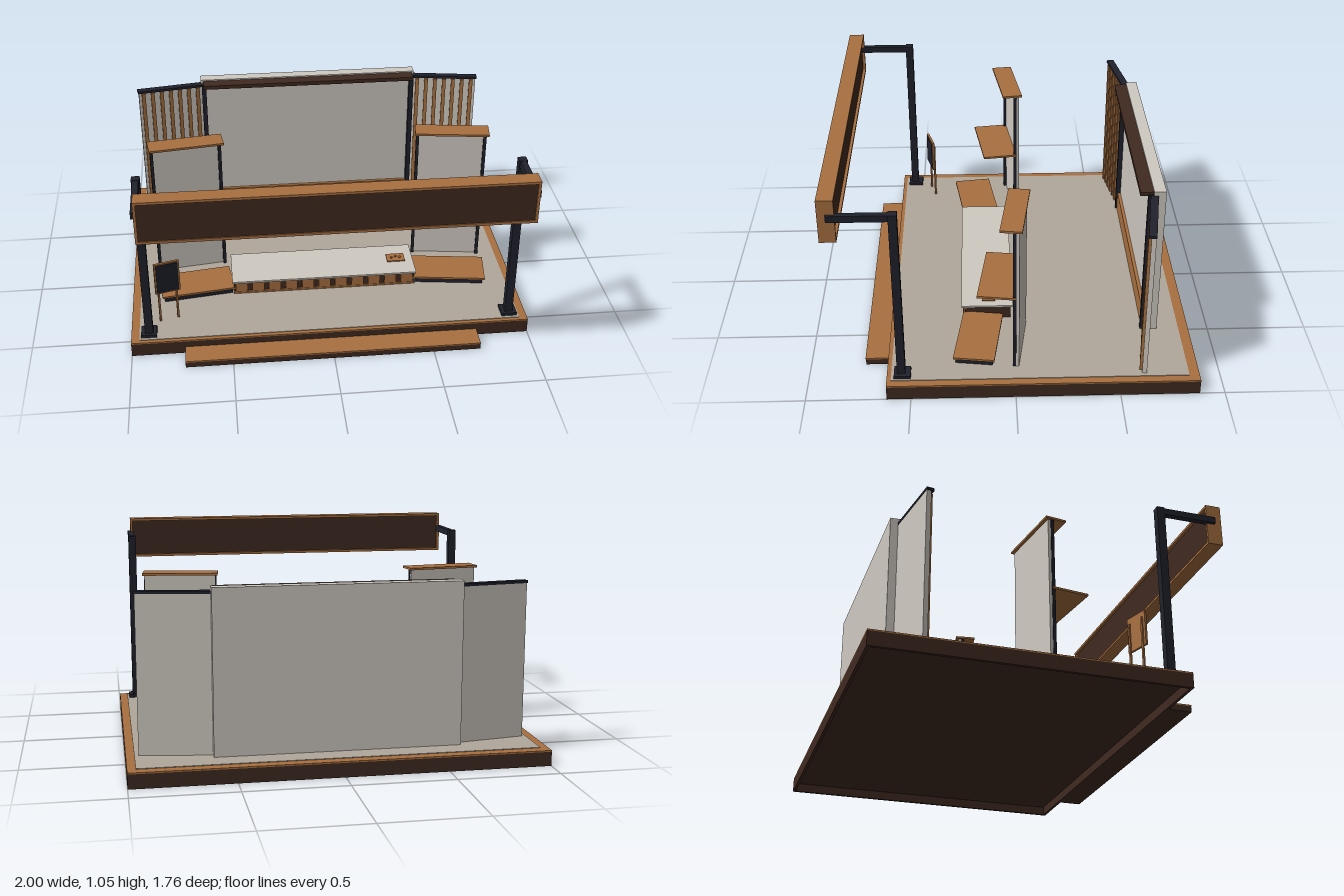
import * as THREE from 'three';

const mat = (name, color) => {
  const m = new THREE.MeshStandardMaterial({ color });
  m.name = name;
  return m;
};

export function createModel() {
  const wood = mat('warm wood', 0xa87040);
  const brown = mat('dark brown', 0x402a20);
  const metal = mat('black metal', 0x20222c);
  const stone = mat('floor stone', 0xb0a89b);
  const plaster = mat('pale plaster', 0xcfc9c1);
  const root = new THREE.Group();
  root.name = 'pavilion';

  // box given by its x, y and z ranges
  const box = (parent, name, m, [x0, x1], [y0, y1], [z0, z1]) => {
    const mesh = new THREE.Mesh(new THREE.BoxGeometry(Math.abs(x1 - x0), y1 - y0, z1 - z0), m);
    mesh.position.set((x0 + x1) / 2, (y0 + y1) / 2, (z0 + z1) / 2);
    mesh.name = name;
    parent.add(mesh);
    return mesh;
  };
  const group = (name, x, z, turn) => {
    const g = new THREE.Group();
    g.name = name;
    g.position.set(x, 0, z);
    g.rotation.y = turn;
    root.add(g);
    return g;
  };

  // deck: fascia boards around a raised slab, open underneath
  box(root, 'deckSlab', brown, [-0.96, 0.96], [0.05, 0.07], [-0.84, 0.59]);
  box(root, 'floor', stone, [-0.96, 0.96], [0.07, 0.08], [-0.83, 0.595]);
  const ring = [
    [[-1, 1], [-0.88, -0.83]], [[-1, 1], [0.595, 0.615]],
    [[-1, -0.96], [-0.83, 0.595]], [[0.96, 1], [-0.83, 0.595]],
  ];
  for (const [x, z] of ring) box(root, 'deckBorder', wood, x, [0.07, 0.077], z);
  const fascia = [
    [[-1, 1], [-0.88, -0.865]], [[-1, 1], [0.6, 0.615]],
    [[-1, -0.985], [-0.865, 0.6]], [[0.985, 1], [-0.865, 0.6]],
  ];
  for (const [x, z] of fascia) box(root, 'deckFascia', brown, x, [0, 0.07], z);
  box(root, 'deckUnderside', brown, [-0.985, 0.985], [0.045, 0.06], [-0.865, 0.6]);

  // front step
  box(root, 'stepBody', brown, [-0.735, 0.735], [0, 0.03], [0.615, 0.73]);
  box(root, 'stepTread', wood, [-0.735, 0.735], [0.03, 0.037], [0.615, 0.732]);

  // overhead sign beam
  box(root, 'beamPanel', brown, [-0.897, 0.897], [0.845, 1.037], [0.815, 0.873]);
  box(root, 'beamTop', wood, [-0.91, 0.91], [1.037, 1.05], [0.8, 0.878]);
  box(root, 'beamBottom', wood, [-0.91, 0.91], [0.833, 0.846], [0.8, 0.878]);
  for (const s of [-1, 1]) {
    box(root, 'beamEnd', wood, [s * 0.897, s * 0.91], [0.846, 1.037], [0.8, 0.878]);
    box(root, 'post', metal, [s * 0.89, s * 0.93], [0.08, 0.98], [0.525, 0.565]);
    box(root, 'postFoot', metal, [s * 0.872, s * 0.95], [0.08, 0.096], [0.5, 0.58]);
    box(root, 'postArm', metal, [s * 0.895, s * 0.925], [0.945, 0.978], [0.555, 0.84]);
  }

  // back wall
  box(root, 'backWall', plaster, [-0.598, 0.595], [0.08, 0.88], [-0.72, -0.662]);
  box(root, 'wallHeader', brown, [-0.583, 0.583], [0.852, 0.873], [-0.662, -0.598]);
  box(root, 'wallBaseboard', wood, [-0.57, 0.57], [0.08, 0.185], [-0.662, -0.645]);

  for (const s of [-1, 1]) {
    box(root, 'wallPost', metal, [s * 0.568, s * 0.592], [0.08, 0.86], [-0.664, -0.636]);

    // angled wing with upright slats
    const wing = group('wing', s * 0.765, -0.637, -s * 0.155);
    box(wing, 'wingPanel', plaster, [-0.175, 0.175], [0.08, 0.846], [-0.018, 0.005]);
    box(wing, 'wingCap', metal, [-0.18, 0.18], [0.846, 0.859], [-0.02, 0.018]);
    for (let i = 0; i < 7; i++) {
      const x = -0.15 + i * 0.05;
      box(wing, 'wingSlat', wood, [x - 0.01, x + 0.01], [0.085, 0.84], [0.005, 0.018]);
    }

    // side display: panel, cap, shelf and low platform
    const bay = group('displayBay', s * 0.69, -0.035, -s * 0.135);
    box(bay, 'bayPanel', plaster, [-0.18, 0.18], [0.08, 0.842], [-0.008, 0.008]);
    box(bay, 'bayCap', wood, [-0.19, 0.19], [0.842, 0.853], [-0.022, 0.083]);
    box(bay, 'bayShelf', wood, [-0.188, 0.188], [0.472, 0.483], [0.008, 0.192]);
    for (const x of [-0.175, 0.175])
      box(bay, 'bayPost', metal, [x - 0.008, x + 0.008], [0.08, 0.842], [0.006, 0.022]);
    const c = s * 0.008;
    box(bay, 'platformBase', metal, [c - 0.178, c + 0.178], [0.08, 0.107], [0.12, 0.3]);
    box(bay, 'platformTop', wood, [c - 0.19, c + 0.19], [0.107, 0.118], [0.11, 0.311]);
  }

  // central bench with block front
  box(root, 'benchBody', brown, [-0.475, 0.475], [0.08, 0.148], [0.01, 0.243]);
  box(root, 'benchTop', plaster, [-0.483, 0.483], [0.148, 0.158], [0, 0.26]);
  box(root, 'benchRail', wood, [-0.477, 0.477], [0.138, 0.148], [0.235, 0.252]);
  box(root, 'benchSill', wood, [-0.477, 0.477], [0.08, 0.09], [0.235, 0.252]);
  for (let i = 0; i < 11; i++) {
    const x = (i - 5) * 0.087;
    box(root, 'benchBlock', wood, [x - 0.031, x + 0.031], [0.09, 0.138], [0.24, 0.25]);
  }

  // tray with small pieces
  box(root, 'tray', wood, [0.345, 0.44], [0.158, 0.164], [0.088, 0.155]);
  for (const [x, z] of [[0.37, 0.125], [0.393, 0.115], [0.415, 0.125]]) {
    const cup = new THREE.Mesh(new THREE.CylinderGeometry(0.007, 0.007, 0.006, 12), wood);
    cup.position.set(x, 0.167, z);
    cup.name = 'trayPiece';
    root.add(cup);
  }

  // standing notice board
  const board = group('noticeBoard', -0.808, 0.44, 0.27);
  box(board, 'boardFrame', wood, [-0.064, 0.064], [0.255, 0.432], [-0.006, 0.006]);
  box(board, 'boardFace', metal, [-0.056, 0.056], [0.263, 0.424], [0.006, 0.01]);
  for (const x of [-0.046, 0.046])
    box(board, 'boardLeg', wood, [x - 0.005, x + 0.005], [0.08, 0.4], [-0.014, -0.004]);

  return root;
}
